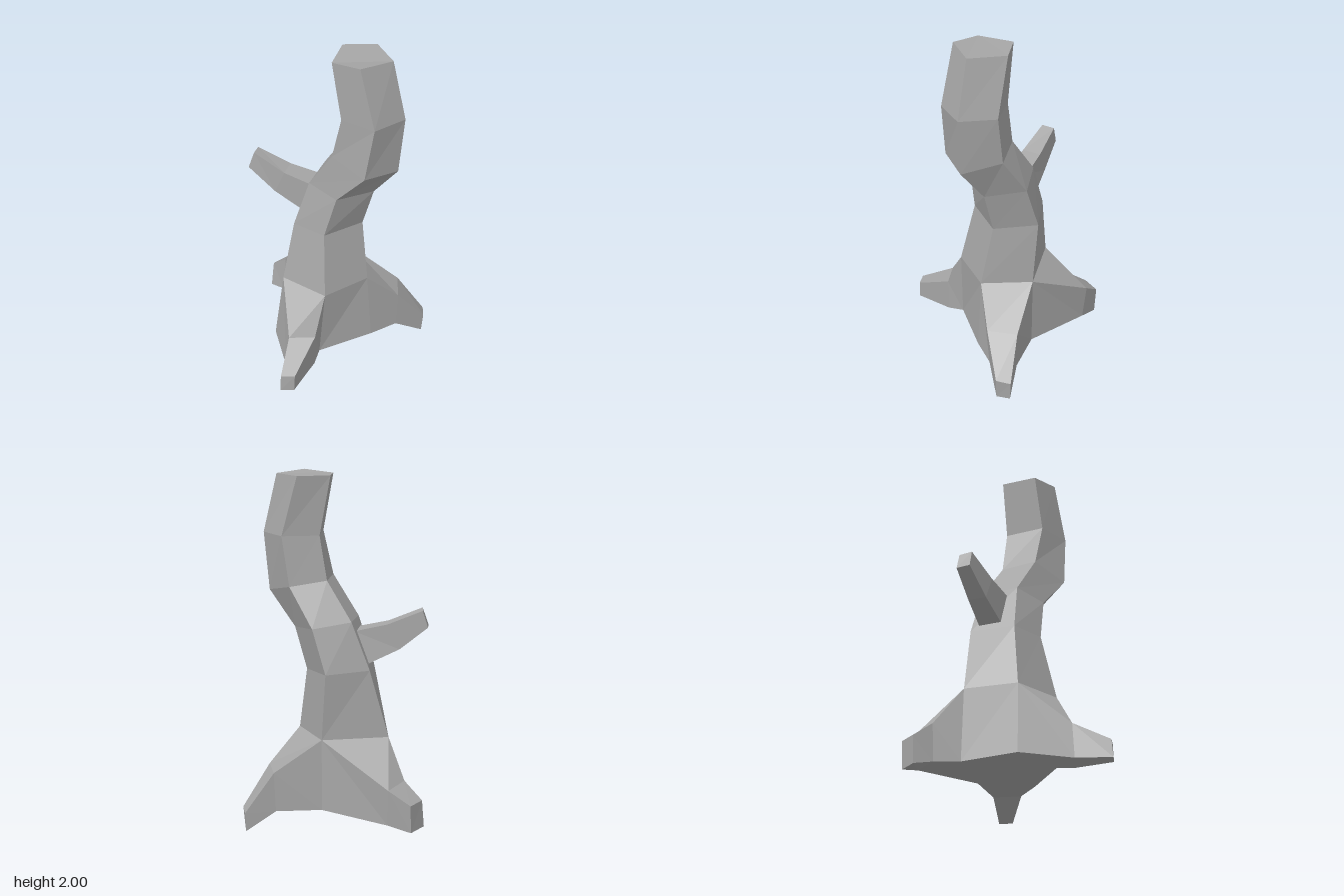
import * as THREE from 'three';

const bark = new THREE.MeshStandardMaterial({ color: 0xa6a6a6, flatShading: true });
bark.name = 'bark grey';

// Skin a list of rings (corners counter-clockwise seen from the tip) and cap the end.
// openSides lists the sides of the first section that are left out, where roots join.
function loft(name, rings, { openSides = [], startCap = false } = {}) {
  const pos = [];
  const tri = (a, b, c) => pos.push(...a, ...b, ...c);
  const n = rings[0].length;
  for (let r = 0; r < rings.length - 1; r++) {
    for (let i = 0; i < n; i++) {
      if (r === 0 && openSides.includes(i)) continue;
      const j = (i + 1) % n;
      const [a, b, c, d] = [rings[r][i], rings[r][j], rings[r + 1][j], rings[r + 1][i]];
      tri(a, b, c);
      tri(a, c, d);
    }
  }
  const end = rings[rings.length - 1], start = rings[0];
  for (let i = 1; i < n - 1; i++) {
    tri(end[0], end[i], end[i + 1]);
    if (startCap) tri(start[0], start[i + 1], start[i]);
  }
  const geo = new THREE.BufferGeometry();
  geo.setAttribute('position', new THREE.Float32BufferAttribute(pos, 3));
  geo.computeVertexNormals();
  const mesh = new THREE.Mesh(geo, bark);
  mesh.name = name;
  return mesh;
}

export function createModel() {
  const tree = new THREE.Group();
  tree.name = 'bareTree';

  // Five-sided crooked trunk: left-front, front, right, back, back-left corners
  const trunk = [
    [[-0.36, 0.12, 0.075], [-0.07, 0.115, 0.21], [0.22, 0.115, 0.01], [0.08, 0.115, -0.28], [-0.31, 0.115, -0.25]],
    [[-0.305, 0.53, 0.06], [-0.035, 0.53, 0.205], [0.19, 0.53, 0], [0.08, 0.53, -0.28], [-0.3, 0.53, -0.245]],
    [[-0.24, 0.9, 0.02], [-0.05, 0.9, 0.12], [0.15, 0.89, -0.06], [0.06, 0.91, -0.3], [-0.19, 0.92, -0.25]],
    [[-0.15, 1.18, 0.01], [0.02, 1.15, 0.12], [0.215, 1.13, -0.03], [0.13, 1.16, -0.25], [-0.09, 1.19, -0.22]],
    [[-0.01, 1.41, 0.08], [0.185, 1.35, 0.205], [0.355, 1.33, 0.055], [0.25, 1.38, -0.15], [0.04, 1.41, -0.135]],
    [[0.045, 1.66, 0.11], [0.235, 1.66, 0.205], [0.385, 1.66, 0.055], [0.29, 1.66, -0.135], [0.08, 1.66, -0.12]],
    [[-0.01, 1.985, 0.08], [0.15, 2, 0.163], [0.31, 1.99, 0.03], [0.205, 1.99, -0.16], [0.02, 1.99, -0.13]],
  ];
  tree.add(loft('trunk', trunk, { openSides: [0, 2, 3], startCap: true }));

  // Each root grows from one side of the trunk's lowest section
  const root = (name, side, mid, tip) => {
    const j = (side + 1) % 5;
    const start = [trunk[0][side], trunk[0][j], trunk[1][j], trunk[1][side]];
    tree.add(loft(name, [start, mid, tip]));
  };
  root('frontRoot', 0,
    [[-0.25, 0.1, 0.35], [-0.085, 0.1, 0.31], [-0.08, 0.3, 0.31], [-0.23, 0.3, 0.335]],
    [[-0.25, 0.085, 0.553], [-0.17, 0.085, 0.54], [-0.165, 0.185, 0.535], [-0.245, 0.185, 0.545]]);
  root('leftRoot', 2,
    [[0.36, 0.11, -0.11], [0.34, 0.11, -0.27], [0.35, 0.34, -0.275], [0.37, 0.34, -0.1]],
    [[0.515, 0, -0.205], [0.51, 0, -0.285], [0.515, 0.11, -0.29], [0.525, 0.12, -0.205]]);
  root('backRoot', 3,
    [[-0.27, 0.1, -0.5], [-0.39, 0.1, -0.375], [-0.375, 0.32, -0.39], [-0.27, 0.31, -0.52]],
    [[-0.395, 0.07, -0.545], [-0.48, 0.07, -0.45], [-0.465, 0.23, -0.465], [-0.39, 0.23, -0.553]]);

  // Short side branch
  tree.add(loft('branch', [
    [[-0.17, 0.94, -0.2], [-0.2, 0.94, -0.065], [-0.14, 1.13, -0.045], [-0.11, 1.13, -0.177]],
    [[-0.36, 1.03, -0.21], [-0.37, 1.03, -0.105], [-0.31, 1.17, -0.09], [-0.29, 1.17, -0.2]],
    [[-0.515, 1.155, -0.23], [-0.53, 1.155, -0.15], [-0.495, 1.255, -0.15], [-0.485, 1.25, -0.225]],
  ]));

  return tree;
}
